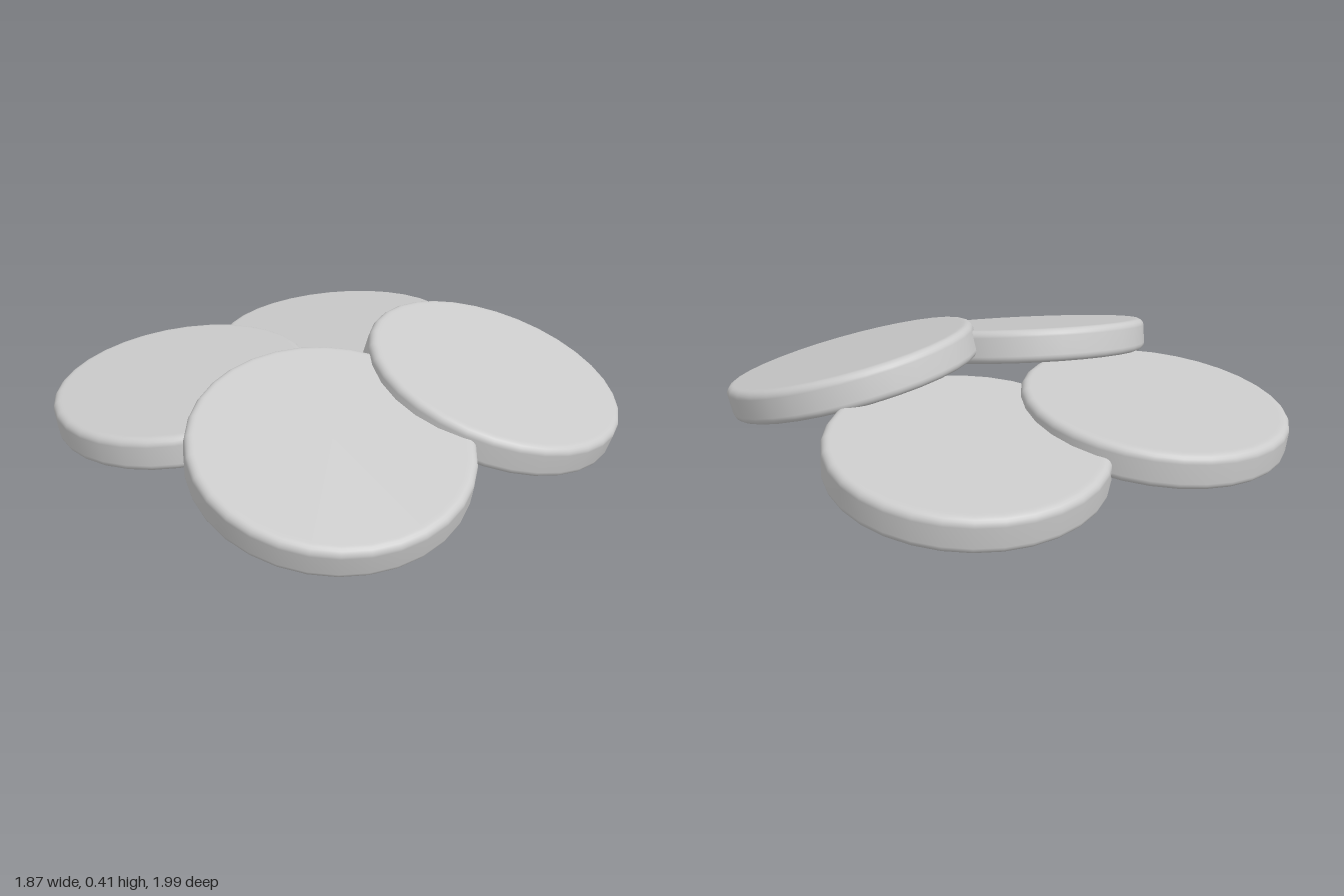
import * as THREE from 'three';

const RADIUS = 0.515, THICKNESS = 0.135, ROUND = 0.03;

// Disc profile with rounded rims, turned about the y axis
function discGeometry() {
  const inner = RADIUS - ROUND, half = THICKNESS / 2 - ROUND, steps = 5;
  const points = [new THREE.Vector2(0, -THICKNESS / 2), new THREE.Vector2(inner - 0.01, -THICKNESS / 2)];
  for (const side of [-1, 1]) {
    for (let i = 0; i <= steps; i++) {
      const a = (side < 0 ? -Math.PI / 2 : 0) + (i / steps) * Math.PI / 2;
      points.push(new THREE.Vector2(inner + Math.cos(a) * ROUND, side * half + Math.sin(a) * ROUND));
    }
  }
  points.push(new THREE.Vector2(inner - 0.01, THICKNESS / 2), new THREE.Vector2(0, THICKNESS / 2));
  return new THREE.LatheGeometry(points, 32);
}

// Centre of each disc and its rise along x and z
const DISCS = [
  { name: 'frontLeftDisc', at: [0.385, 0.213, 0.482], slope: [-0.115, -0.265] },
  { name: 'frontRightDisc', at: [-0.425, 0.21, 0.352], slope: [0.12, -0.23] },
  { name: 'backRightDisc', at: [-0.367, 0.137, -0.485], slope: [0.06, 0.085] },
  { name: 'backLeftDisc', at: [0.415, 0.128, -0.345], slope: [-0.015, 0.12] },
];

export function createModel() {
  const group = new THREE.Group();
  group.name = 'overlappingDiscs';
  const geometry = discGeometry();
  const material = new THREE.MeshStandardMaterial({ color: 0xcccccc });
  const up = new THREE.Vector3(0, 1, 0);
  for (const { name, at, slope } of DISCS) {
    const disc = new THREE.Mesh(geometry, material);
    disc.name = name;
    disc.position.set(...at);
    // Lean the disc so that its face follows the slope
    disc.quaternion.setFromUnitVectors(up, new THREE.Vector3(-slope[0], 1, -slope[1]).normalize());
    group.add(disc);
  }
  return group;
}
